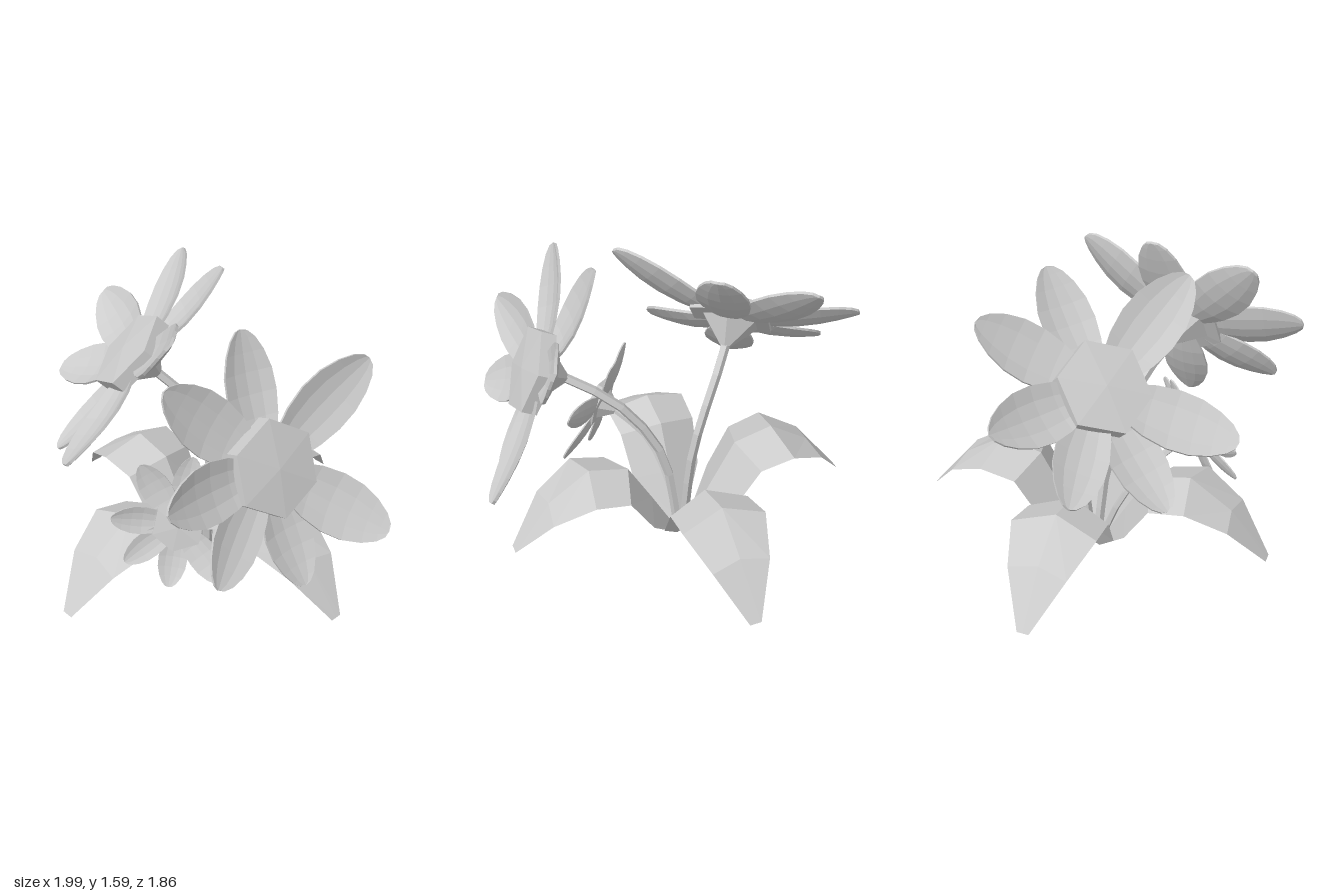
import * as THREE from 'three';
import { ParametricGeometry } from 'three/addons/geometries/ParametricGeometry.js';

const material = new THREE.MeshStandardMaterial({ color: 0xcccccc, flatShading: true });
const thinMaterial = material.clone();
thinMaterial.side = THREE.DoubleSide;

const vec = (a) => new THREE.Vector3(...a);

function addMesh(parent, name, geometry, mat = material) {
  const mesh = new THREE.Mesh(geometry, mat);
  mesh.name = name;
  parent.add(mesh);
  return mesh;
}

// Orients an object so its y axis follows up and its z axis leans towards forward
function orient(object, position, up, forward) {
  const x = new THREE.Vector3().crossVectors(up, forward).normalize();
  const z = new THREE.Vector3().crossVectors(x, up);
  object.quaternion.setFromRotationMatrix(new THREE.Matrix4().makeBasis(x, up, z));
  object.position.copy(position);
}

// Arching leaf, folded along its midrib: radius, height, half width, edge shift out and down
const LEAF = [
  [0.04, 0, 0.05, 0.02, 0],
  [0.17, 0.24, 0.19, 0.06, 0.04],
  [0.3, 0.47, 0.21, 0.06, 0.06],
  [0.51, 0.52, 0.22, 0.035, 0.07],
  [0.73, 0.375, 0.15, 0.02, 0.03],
  [0.93, 0.13, 0.03, 0, 0],
];
function leafGeometry() {
  const rows = LEAF.length - 1;
  return new ParametricGeometry((u, v, out) => {
    const [r, h, w, shift, drop] = LEAF[Math.round(v * rows)];
    const side = Math.round(u * 2) - 1;
    const edge = Math.abs(side);
    out.set(r + shift * edge, h - drop * edge, side * w);
  }, 2, rows);
}

// Thin solid petal along +y, cupped towards +z: position along the length, half width
const PETAL = [[0, 0.05], [0.18, 0.125], [0.36, 0.185], [0.53, 0.212], [0.69, 0.203],
  [0.83, 0.16], [0.93, 0.105], [0.985, 0.05], [1, 0]];
function petalGeometry(length) {
  const rows = PETAL.length - 1;
  return new ParametricGeometry((u, v, out) => {
    const [t, w] = PETAL[Math.round(v * rows)];
    const i = Math.round(u * 10) % 10;
    const back = i > 4;
    const side = (back ? 7 - i : i - 2) / 2;
    const bow = -0.055 * Math.sin(Math.PI * t);
    const cup = 0.2 * w * side * side;
    out.set(side * w, t, bow + cup - (back ? 0.02 : 0)).multiplyScalar(length);
  }, 10, rows);
}

// Each flower: facing direction, centre, petal tips, size of the disc, stem path
const FLOWERS = [
  {
    name: 'leftFlower', normal: [-0.487, 0.693, 0.531], centre: [-0.405, 1.14, 0.124], radius: 0.23,
    tips: [[0.11, 1.52, 0.4], [-0.25, 0.88, 0.75], [-0.61, 0.69, 0.51], [-0.96, 0.88, 0.16],
      [-0.97, 1.2, -0.18], [-0.58, 1.5, -0.39], [-0.14, 1.59, -0.22]],
    stem: [[-0.07, 0.01, -0.03], [-0.09, 0.5, -0.08], [-0.14, 0.71, -0.08], [-0.26, 0.95, -0.02]],
  },
  {
    name: 'rightFlower', normal: [0.9, 0.41, 0.17], centre: [0.584, 1.015, 0.268], radius: 0.23,
    tips: [[0.31, 1.57, 0.16], [0.33, 1.48, 0.66], [0.58, 1.1, 0.9], [0.73, 0.7, 0.76],
      [0.83, 0.47, 0.27], [0.99, 0.63, -0.14], [0.69, 1.38, -0.3]],
    stem: [[-0.05, 0.01, 0], [0, 0.4, 0.03], [0.08, 0.6, 0.07], [0.25, 0.82, 0.14]],
  },
  {
    name: 'smallFlower', normal: [0.65, 0.28, 0.71], centre: [0.19, 0.59, 0.45], radius: 0.13,
    tips: [[0.17, 0.9, 0.32], [0.015, 0.885, 0.52], [-0.01, 0.66, 0.7], [0.07, 0.44, 0.7],
      [0.22, 0.28, 0.56], [0.44, 0.33, 0.4], [0.465, 0.72, 0.21]],
    stem: [[-0.06, 0.01, 0.03], [-0.04, 0.25, 0.12], [0.02, 0.45, 0.25]],
  },
];

function createFlower({ name, normal, centre: position, radius, tips, stem }) {
  const flower = new THREE.Group();
  flower.name = name;
  const facing = vec(normal).normalize();
  const centre = vec(position);

  // Petals run from the centre to their tips
  tips.forEach((tip) => {
    const direction = vec(tip).sub(centre);
    const length = direction.length();
    const petal = addMesh(flower, 'petal', petalGeometry(length), thinMaterial);
    orient(petal, centre, direction.normalize(), facing);
  });

  // Six-sided disc with a low peak
  const thickness = radius * 0.3;
  const profile = [[0, -0.02], [radius, -0.01], [radius, thickness], [0, thickness * 1.25]]
    .map(([x, y]) => new THREE.Vector2(x, y));
  const disc = addMesh(flower, 'flowerCentre', new THREE.LatheGeometry(profile, 6));
  const first = vec(tips[0]).sub(centre);
  orient(disc, centre, facing, first);

  // Tapered cup between the petals and the stem
  const cupHeight = radius * 0.6;
  const cup = addMesh(flower, 'calyx', new THREE.CylinderGeometry(radius * 0.68, 0.025, cupHeight, 6));
  orient(cup, centre.clone().addScaledVector(facing, -cupHeight / 2 - 0.01), facing, first);

  // Bent stem
  const end = centre.clone().addScaledVector(facing, -cupHeight);
  const path = new THREE.CatmullRomCurve3([...stem.map(vec), end]);
  addMesh(flower, 'stem', new THREE.TubeGeometry(path, 7, radius > 0.2 ? 0.025 : 0.018, 5), thinMaterial);
  return flower;
}

export function createModel() {
  const model = new THREE.Group();
  model.name = 'floweringPlant';

  // Four leaves around the base
  const leaves = new THREE.Group();
  leaves.name = 'leaves';
  leaves.position.set(-0.07, 0, -0.01);
  for (let i = 0; i < 4; i++) {
    const leaf = addMesh(leaves, 'leaf', leafGeometry(), thinMaterial);
    leaf.rotation.y = -0.06 - (i * Math.PI) / 2;
  }
  model.add(leaves);

  FLOWERS.forEach((spec) => model.add(createFlower(spec)));
  return model;
}
